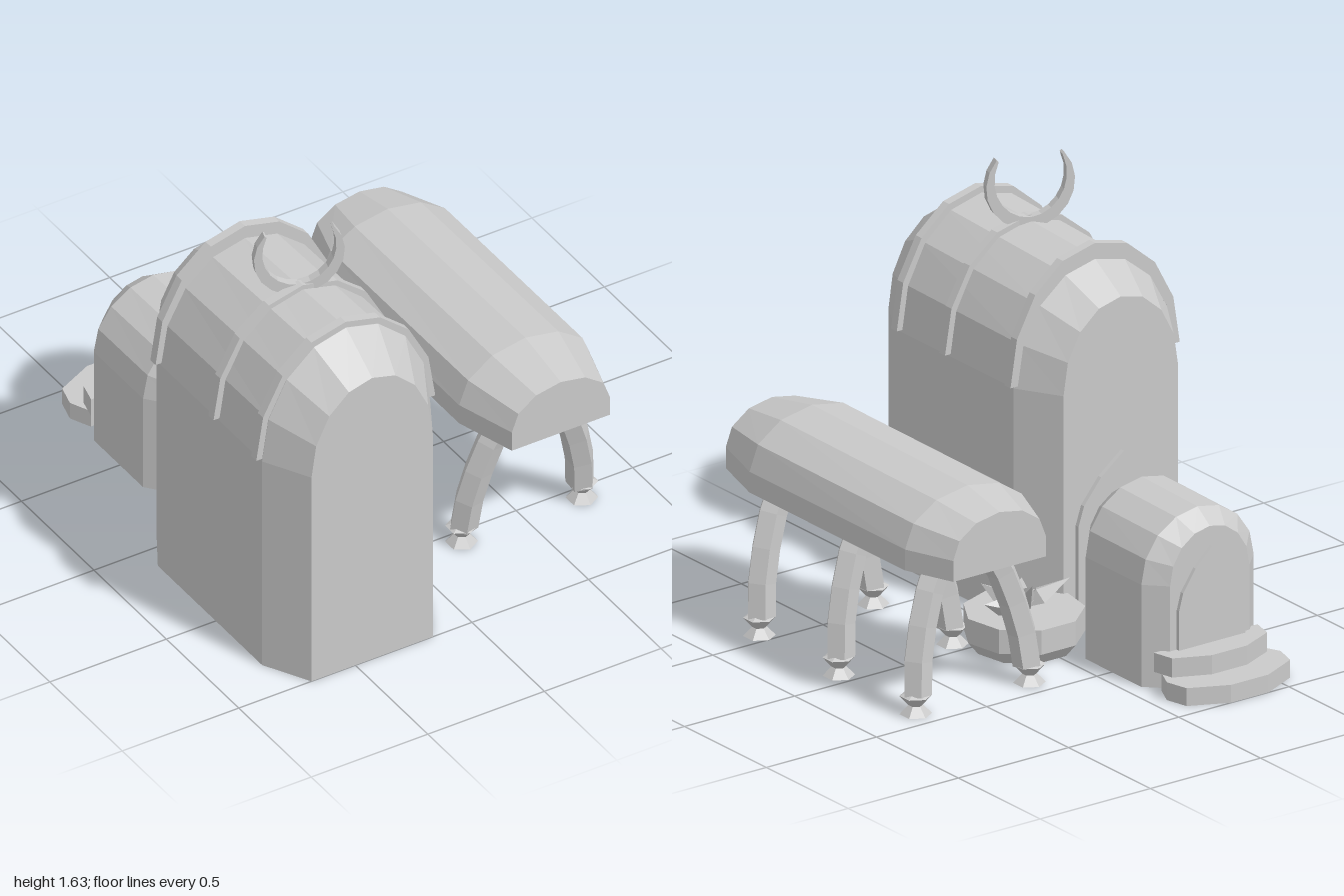
import * as THREE from 'three';

// Double sided because the halls, shelter and basin are open underneath
const stone = new THREE.MeshStandardMaterial({ color: 0xcacaca, flatShading: true, side: THREE.DoubleSide });
stone.name = 'pale grey stone';

function add(parent, name, geo, x = 0, y = 0, z = 0) {
  const m = new THREE.Mesh(geo, stone);
  m.name = name;
  m.position.set(x, y, z);
  parent.add(m);
  return m;
}

// Points of a half ellipse from +x over the top to -x
function archPoints(half, rise, spring, segs) {
  return Array.from({ length: segs + 1 }, (_, i) => {
    const a = Math.PI * i / segs;
    return new THREE.Vector2(Math.cos(a) * half, spring + Math.sin(a) * rise);
  });
}

// Vaulted shell, open below: sections run front to back as [z, half width, spring height, top height]
function vault(sections, base, segs) {
  const pos = [];
  const rings = sections.map(([z, half, spring, top]) => [
    new THREE.Vector2(half, base),
    ...archPoints(half, top - spring, spring, segs),
    new THREE.Vector2(-half, base),
  ].map(p => [p.x, p.y, z]));
  const n = rings[0].length;
  for (let s = 0; s < rings.length - 1; s++) {
    for (let i = 0; i < n - 1; i++) {
      const a = rings[s][i], b = rings[s][i + 1], c = rings[s + 1][i + 1], d = rings[s + 1][i];
      pos.push(...a, ...d, ...b, ...b, ...d, ...c);
    }
  }
  const front = rings[0], back = rings[rings.length - 1];
  for (let i = 1; i < n - 1; i++) {
    pos.push(...front[0], ...front[i], ...front[i + 1]);
    pos.push(...back[0], ...back[i + 1], ...back[i]);
  }
  const g = new THREE.BufferGeometry();
  g.setAttribute('position', new THREE.Float32BufferAttribute(pos, 3));
  g.computeVertexNormals();
  return g;
}

function extrude(points, depth) {
  return new THREE.ExtrudeGeometry(new THREE.Shape(points), { depth, bevelEnabled: false });
}

// Pointed door plate
function door(half, spring, top) {
  const h = top - spring;
  const side = [[half, 0], [half, spring], [half * 0.88, spring + h * 0.3], [half * 0.5, spring + h * 0.68]];
  return extrude([
    ...side.map(p => new THREE.Vector2(p[0], p[1])),
    new THREE.Vector2(0, top),
    ...side.reverse().map(p => new THREE.Vector2(-p[0], p[1])),
  ], 0.03);
}

// Step slab from half an outline of [x, z], mirrored in x
function step(half, height) {
  const pts = [
    ...half.map(([x, z]) => new THREE.Vector2(x, -z)),
    ...half.slice().reverse().map(([x, z]) => new THREE.Vector2(-x, -z)),
  ];
  return extrude(pts, height).rotateX(-Math.PI / 2);
}

function lathe(profile, segs) {
  return new THREE.LatheGeometry(profile.map(p => new THREE.Vector2(p[0], p[1])), segs);
}

function buildHall(root) {
  const hall = new THREE.Group();
  hall.name = 'tallHall';
  hall.position.x = -0.428;
  root.add(hall);
  add(hall, 'hallBody', vault([
    [1, 0.26, 0.92, 1.27], [0.82, 0.36, 0.92, 1.385],
    [0.1, 0.36, 0.92, 1.355], [-0.07, 0.26, 0.92, 1.25],
  ], 0, 8));
  // Roof ribs
  for (const [z, top] of [[0.8, 1.41], [0.505, 1.392], [0.105, 1.41]]) {
    const outer = archPoints(0.384, top - 0.93, 0.93, 8);
    const inner = archPoints(0.35, 0.415, 0.93, 8).reverse();
    add(hall, 'roofRib', extrude([...outer, ...inner], 0.036), 0, 0, z - 0.018);
  }
  add(hall, 'hallDoor', door(0.205, 0.4, 0.65), 0, 0, -0.088);
  // Crescent finial, thinning toward its tips
  const outer = [], inner = [];
  for (let i = 0; i <= 14; i++) {
    const t = i / 7 - 1;
    const a = -Math.PI / 2 + t * 2.25;
    const r = 0.178 - 0.01 * Math.abs(t), w = 0.045 - 0.035 * t * t * Math.abs(t);
    outer.push(new THREE.Vector2(Math.cos(a) * r, Math.sin(a) * r));
    inner.unshift(new THREE.Vector2(Math.cos(a) * (r - w), Math.sin(a) * (r - w)));
  }
  const horn = add(hall, 'crescentFinial', extrude([...outer, ...inner], 0.034).translate(0, 0, -0.017), 0, 1.52, 0.49);
  horn.rotation.y = -0.31;
}

function buildAnnex(root) {
  const annex = new THREE.Group();
  annex.name = 'smallHall';
  annex.position.x = -0.323;
  root.add(annex);
  add(annex, 'annexBody', vault([
    [-0.25, 0.18, 0.4, 0.595], [-0.34, 0.255, 0.4, 0.655],
    [-0.68, 0.255, 0.4, 0.648], [-0.755, 0.18, 0.4, 0.595],
  ], 0, 8));
  add(annex, 'annexDoor', door(0.15, 0.3, 0.52), 0, 0, -0.77);
  add(annex, 'lowerStep', step([[0.22, -0.757], [0.258, -0.84], [0.235, -0.93], [0.085, -1]], 0.07));
  add(annex, 'upperStep', step([[0.235, -0.73], [0.215, -0.815], [0.08, -0.875]], 0.075), 0, 0.07);
}

function buildPlanter(root) {
  const planter = new THREE.Group();
  planter.name = 'planter';
  root.add(planter);
  add(planter, 'basin', lathe([[0.185, 0], [0.226, 0.05], [0.226, 0.145], [0, 0.145]], 9), 0.035, 0, -0.1);
  // Spiky leaves fanning out from a faceted bud
  const rootPoint = new THREE.Vector3(0.055, 0.15, -0.1);
  add(planter, 'bud', lathe([[0.03, 0], [0.06, 0.035], [0.02, 0.05], [0, 0.085]], 6)).position.copy(rootPoint);
  const tips = [
    [0.095, 0.29, -0.235], [0.21, 0.2, -0.095], [0.125, 0.22, 0.04],
    [-0.06, 0.2, 0.04], [-0.11, 0.26, -0.185],
  ];
  for (const tip of tips) {
    const dir = new THREE.Vector3(...tip).sub(rootPoint);
    const len = dir.length();
    const leaf = add(planter, 'leaf', lathe([[0, 0], [0.042, len * 0.42], [0, len]], 4));
    leaf.position.copy(rootPoint);
    leaf.quaternion.setFromUnitVectors(new THREE.Vector3(0, 1, 0), dir.normalize());
  }
}

function buildWalker(root) {
  const walker = new THREE.Group();
  walker.name = 'leggedShelter';
  walker.position.x = 0.49;
  root.add(walker);
  add(walker, 'shelterShell', vault([
    [0.825, 0.21, 0.64, 0.787], [0.58, 0.284, 0.64, 0.835],
    [-0.37, 0.284, 0.64, 0.825], [-0.565, 0.21, 0.64, 0.782],
  ], 0.558, 6));
  // Three leg arches, leaning forward as they rise
  const half = [[0.252, 0.07], [0.246, 0.16], [0.21, 0.32], [0.155, 0.47], [0.08, 0.59]];
  for (const z of [0.555, 0.07, -0.4]) {
    const lean = y => z + 0.12 * Math.max(0, y - 0.06);
    const pts = [
      ...half.map(([x, y]) => new THREE.Vector3(x, y, lean(y))),
      new THREE.Vector3(0, 0.62, lean(0.62)),
      ...half.slice().reverse().map(([x, y]) => new THREE.Vector3(-x, y, lean(y))),
    ];
    add(walker, 'legArch', new THREE.TubeGeometry(new THREE.CatmullRomCurve3(pts), 10, 0.056, 5));
    for (const s of [-1, 1]) {
      add(walker, 'foot', lathe([[0, 0], [0.06, 0], [0.027, 0.035], [0.06, 0.072], [0, 0.1]], 6), s * 0.258, 0, z);
    }
  }
}

export function createModel() {
  const root = new THREE.Group();
  root.name = 'village';
  buildHall(root);
  buildAnnex(root);
  buildPlanter(root);
  buildWalker(root);
  return root;
}
